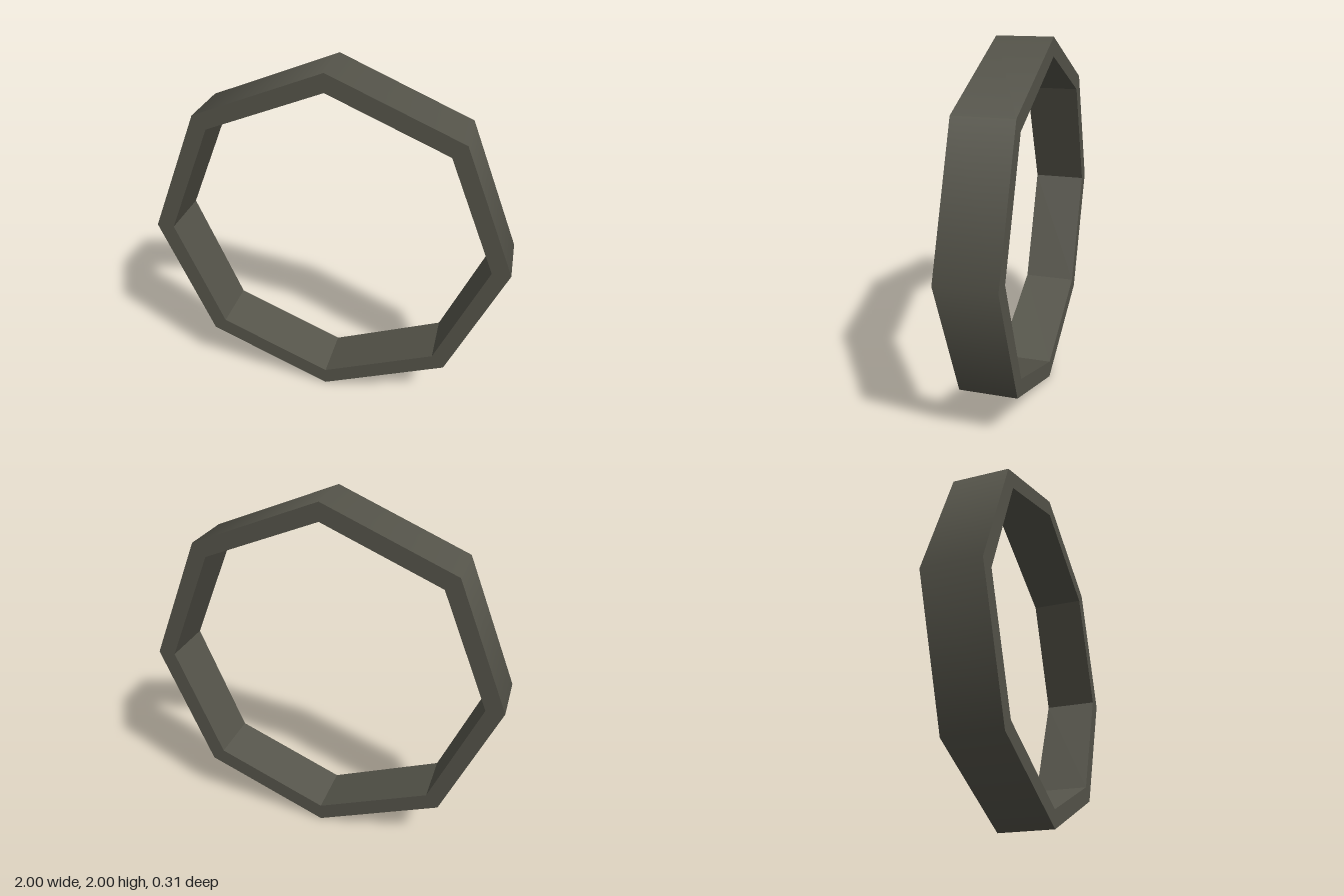
import * as THREE from 'three';

const SIDES = 8, OUTER = 1, INNER = 0.9, DEPTH = 0.31;

export function createModel() {
  const group = new THREE.Group();
  group.name = 'octagonalRing';
  const darkOlive = new THREE.MeshStandardMaterial({ color: 0x55544a });
  darkOlive.name = 'darkOliveGrey';

  const add = (name, geometry) => {
    const mesh = new THREE.Mesh(geometry, darkOlive);
    mesh.name = name;
    mesh.position.y = OUTER;
    group.add(mesh);
    return mesh;
  };

  // Outer band with smooth normals around the rim
  add('outerBand', new THREE.CylinderGeometry(OUTER, OUTER, DEPTH, SIDES, 1, true).rotateX(Math.PI / 2));

  // Inner band: negative height turns the faces inward; flat normals per side
  const inner = new THREE.CylinderGeometry(INNER, INNER, -DEPTH, SIDES, 1, true)
    .rotateX(Math.PI / 2).toNonIndexed();
  inner.computeVertexNormals();
  add('innerBand', inner);

  // Flat front and back rims
  for (const [name, side] of [['frontRim', 1], ['backRim', -1]]) {
    const rim = add(name, new THREE.RingGeometry(INNER, OUTER, SIDES));
    rim.position.z = side * DEPTH / 2;
    if (side < 0) rim.rotation.y = Math.PI;
  }
  return group;
}
